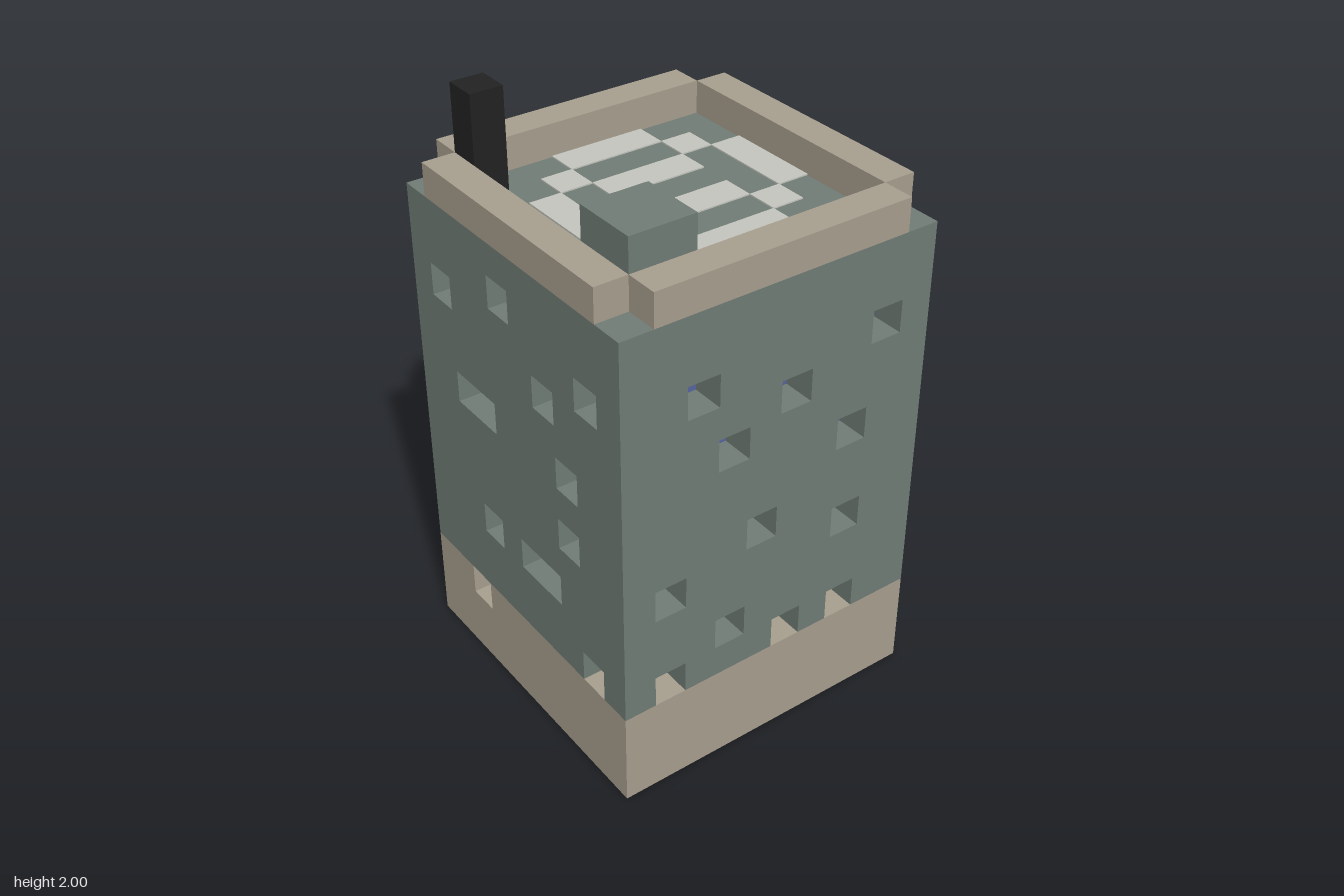
import * as THREE from 'three';
import { mergeGeometries } from 'three/addons/utils/BufferGeometryUtils.js';

// The building sits on a 10 x 18 x 10 block grid; one block is 1/9 unit.
const U = 1 / 9;

function material(name, color) {
  const m = new THREE.MeshStandardMaterial({ color });
  m.name = name;
  return m;
}

// Box from grid corner (x, y, z) with size (w, h, d) in blocks
function block(x, y, z, w, h, d) {
  return new THREE.BoxGeometry(w * U, h * U, d * U)
    .translate((x + w / 2 - 5) * U, (y + h / 2) * U, (z + d / 2 - 5) * U);
}

// Window openings as [column, row]; columns run along +x or +z
const frontWindows = [[4, 13], [1, 12], [8, 12], [6, 11], [2, 9], [3, 9], [7, 9],
  [7, 7], [3, 5], [5, 5], [6, 5], [8, 3], [2, 2]];
const backWindows = [[7, 13], [4, 12], [1, 12], [2, 11], [7, 10], [5, 9], [4, 9], [6, 7],
  [1, 7], [7, 5], [3, 6], [2, 6], [1, 6], [4, 4], [2, 3], [6, 2]];
const leftWindows = [[7, 12], [1, 12], [4, 11], [6, 10], [2, 9], [5, 7], [8, 6], [2, 6],
  [6, 4], [8, 3], [4, 3], [2, 3]];
const rightWindows = [[1, 13], [3, 13], [6, 13], [8, 13], [7, 12], [6, 11], [3, 9], [8, 8],
  [5, 7], [4, 4], [6, 4], [8, 4], [2, 3]];

export function createModel() {
  const model = new THREE.Group();
  model.name = 'towerBlock';

  const wallGrey = material('wallGrey', 0x717d76);
  const stoneTan = material('stoneTan', 0xa89f8f);
  const glassBlue = material('glassBlue', 0x5765a0);
  const paintWhite = material('paintWhite', 0xc5c6bf);
  const mastBlack = material('mastBlack', 0x222222);

  const add = (name, mat, ...geometries) => {
    const mesh = new THREE.Mesh(mergeGeometries(geometries), mat);
    mesh.name = name;
    model.add(mesh);
  };

  // One-block-thick wall, laid row by row with gaps for the windows
  function wall(name, windows, first, last, place, isBase) {
    const grey = [], tan = [];
    for (let row = 0; row < 15; row++) {
      const kind = (c) => {
        if (c > last || windows.some(([wc, wr]) => wc === c && wr === row)) return null;
        return isBase(c, row) ? tan : grey;
      };
      let start = first;
      for (let c = first + 1; c <= last + 1; c++) {
        if (c <= last && kind(c) === kind(start)) continue;
        const list = kind(start);
        if (list) list.push(place(start, row, c - start));
        start = c;
      }
    }
    add(name, wallGrey, ...grey);
    add(name + 'Base', stoneTan, ...tan);
  }

  const lowRows = (c, row) => row < 3;
  const backBase = (c, row) => row === 0 || (row < 3 && (c === 0 || c === 9));
  wall('frontWall', frontWindows, 0, 9, (c, r, n) => block(c, r, 9, n, 1, 1), lowRows);
  wall('backWall', backWindows, 0, 9, (c, r, n) => block(c, r, 0, n, 1, 1), backBase);
  wall('leftWall', leftWindows, 1, 8, (c, r, n) => block(9, r, c, 1, 1, n), lowRows);
  wall('rightWall', rightWindows, 1, 8, (c, r, n) => block(0, r, c, 1, 1, n), lowRows);

  // Glass core seen through the openings, closed by floor and roof slabs
  add('windowGlass', glassBlue, block(1, 1, 1, 8, 13, 8));
  add('floorSlab', wallGrey, block(1, 0, 1, 8, 1, 8));
  add('roofSlab', wallGrey, block(1, 14, 1, 8, 1, 8));

  // Parapet strips with open corners
  add('parapet', stoneTan,
    block(1, 15, 9, 8, 1, 1), block(1, 15, 0, 8, 1, 1),
    block(9, 15, 1, 1, 1, 8), block(0, 15, 1, 1, 1, 8));

  // Painted landing pad: stepped ring and two plain centre bars
  const plate = (x, z, w, d) => block(x, 15, z, w, 0.04, d);
  add('landingPadRing', paintWhite,
    plate(3, 1, 3, 1), plate(3, 7, 3, 1), plate(1, 3, 1, 3), plate(7, 3, 1, 3),
    plate(2, 2, 1, 1), plate(6, 2, 1, 1), plate(2, 6, 1, 1), plate(6, 6, 1, 1));
  add('landingPadBars', paintWhite, plate(3, 3, 1, 3), plate(5, 3, 1, 3));

  // Rooftop equipment
  add('roofUnit', wallGrey, block(7, 15, 7, 2, 2, 2));
  add('chimney', mastBlack, block(1, 15, 8, 1, 3, 1));

  return model;
}
